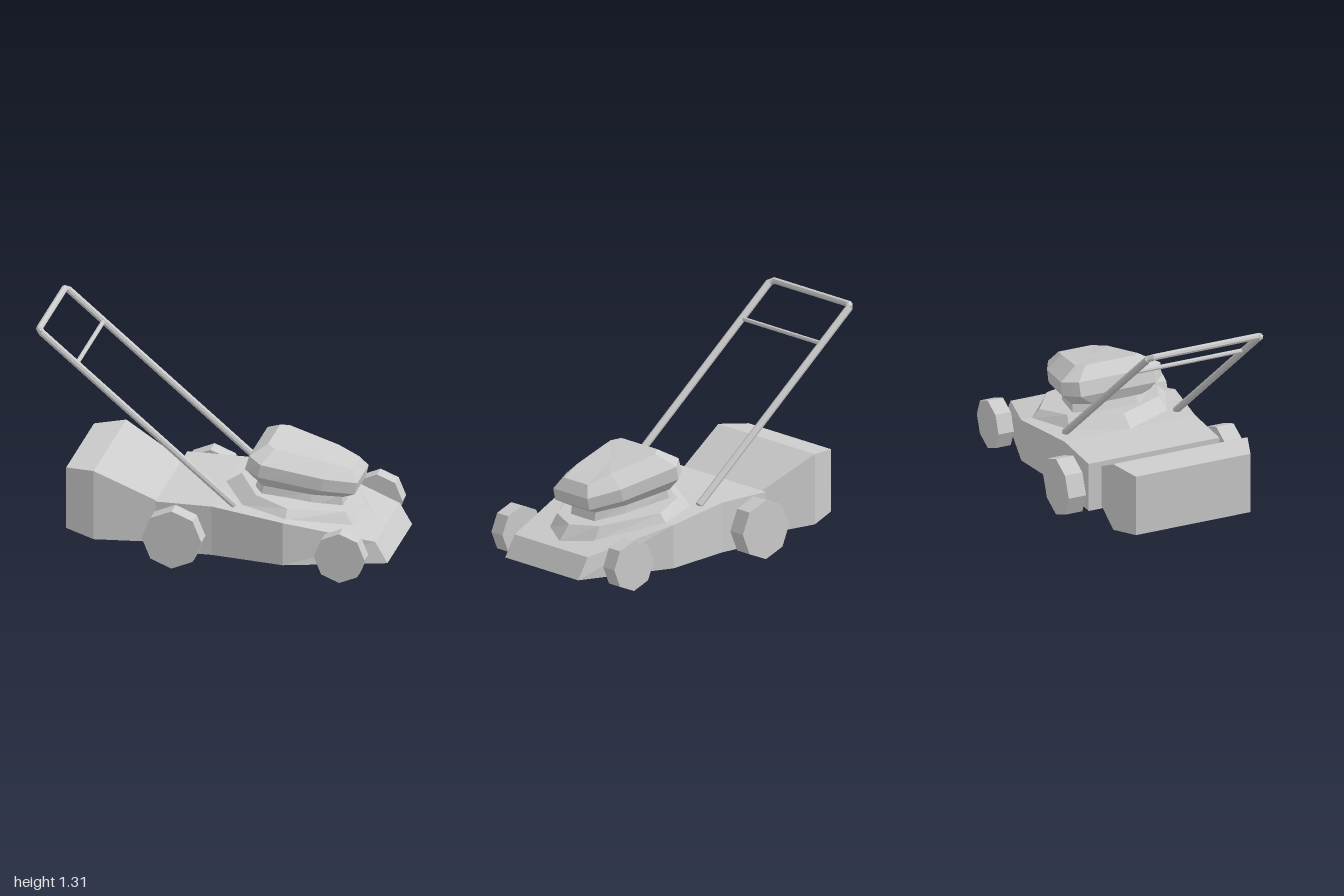
import * as THREE from 'three';

const material = new THREE.MeshStandardMaterial({ color: 0xcccccc, flatShading: true });

// Closed solid through a list of loops with equal point counts, capped at both ends
function loft(loops) {
  const n = loops[0].length;
  const tris = [];
  for (let i = 0; i < loops.length - 1; i++) {
    for (let j = 0; j < n; j++) {
      const k = (j + 1) % n, a = loops[i], b = loops[i + 1];
      tris.push([a[j], a[k], b[k]], [a[j], b[k], b[j]]);
    }
  }
  const centre = (loop) => [0, 1, 2].map((c) => loop.reduce((s, p) => s + p[c], 0) / n);
  const first = loops[0], last = loops[loops.length - 1];
  const c0 = centre(first), c1 = centre(last);
  for (let j = 0; j < n; j++) {
    const k = (j + 1) % n;
    tris.push([c0, first[k], first[j]], [c1, last[j], last[k]]);
  }
  // Turn the faces outward when the enclosed volume comes out negative
  let volume = 0;
  for (const [a, b, c] of tris) {
    volume += new THREE.Vector3(...a).dot(new THREE.Vector3(...b).cross(new THREE.Vector3(...c)));
  }
  if (volume < 0) tris.forEach((t) => t.reverse());
  const geometry = new THREE.BufferGeometry();
  geometry.setAttribute('position', new THREE.Float32BufferAttribute(tris.flat(2), 3));
  geometry.computeVertexNormals();
  return geometry;
}

// Full loop from the points of its left half, listed rear to front
function mirrored(half) {
  const other = half.filter((p) => p[2] > 0).map(([x, y, z]) => [x, y, -z]).reverse();
  return [...half, ...other];
}

// Upright section across the body: top and bottom edges of equal width
const section = ([xTop, yTop, xBottom, yBottom, w]) => [
  [xTop, yTop, w], [xTop, yTop, -w], [xBottom, yBottom, -w], [xBottom, yBottom, w],
];

export function createModel() {
  const model = new THREE.Group();
  model.name = 'lawnMower';

  const add = (name, geometry) => {
    const mesh = new THREE.Mesh(geometry, material);
    mesh.name = name;
    model.add(mesh);
    return mesh;
  };

  const rod = (name, from, to, radius) => {
    const a = new THREE.Vector3(...from), b = new THREE.Vector3(...to);
    const dir = b.clone().sub(a);
    const mesh = add(name, new THREE.CylinderGeometry(radius, radius, dir.length(), 8));
    mesh.position.copy(a).add(b).multiplyScalar(0.5);
    mesh.quaternion.setFromUnitVectors(new THREE.Vector3(0, 1, 0), dir.normalize());
  };

  // Cutting deck with its sloped nose
  add('deck', loft([
    [-0.3, 0.35, -0.3, 0.06, 0.4],
    [0.02, 0.347, 0.02, 0.06, 0.4],
    [0.44, 0.31, 0.44, 0.06, 0.47],
    [0.93, 0.18, 1.0, 0.06, 0.31],
  ].map(section)));

  // Grass catcher behind the deck
  add('grassCatcher', loft([
    [-0.82, 0.49, -0.82, 0.13, 0.35],
    [-0.65, 0.505, -0.65, 0.1, 0.41],
    [-0.29, 0.315, -0.29, 0.08, 0.32],
  ].map(section)));

  // Raised engine mount on the deck
  add('engineMount', loft([
    [[0, 0.34, 0], [0.165, 0.33, 0.3], [0.44, 0.305, 0.41], [0.775, 0.22, 0.19], [0.87, 0.195, 0]],
    [[0.1, 0.405, 0], [0.245, 0.39, 0.28], [0.44, 0.355, 0.36], [0.73, 0.295, 0.18], [0.8, 0.28, 0]],
  ].map(mirrored)));

  // Engine neck, narrowing to a waist
  add('engineNeck', loft([
    [[0.2, 0.37, 0.14], [0.26, 0.355, 0.24], [0.54, 0.31, 0.18], [0.7, 0.29, 0.1]],
    [[0.23, 0.44, 0.13], [0.28, 0.43, 0.23], [0.53, 0.385, 0.17], [0.69, 0.36, 0.1]],
  ].map(mirrored)));

  // Tilted engine cover: underside, rim band, bevelled top
  add('engineCover', loft([
    [[0.19, 0.455, 0.15], [0.27, 0.435, 0.24], [0.54, 0.38, 0.18], [0.7, 0.35, 0.1]],
    [[0.17, 0.52, 0.23], [0.26, 0.505, 0.305], [0.6, 0.425, 0.23], [0.775, 0.388, 0.145]],
    [[0.195, 0.6, 0.23], [0.275, 0.58, 0.305], [0.62, 0.495, 0.23], [0.79, 0.455, 0.145]],
    [[0.285, 0.652, 0.15], [0.33, 0.638, 0.19], [0.62, 0.565, 0.14], [0.75, 0.52, 0.1]],
  ].map(mirrored)));

  // Octagonal wheels on short axles
  for (const side of [1, -1]) {
    const label = side > 0 ? 'Left' : 'Right';
    for (const [end, x, y, r, z0, z1] of [
      ['rear', -0.177, 0.185, 0.17, 0.437, 0.543],
      ['front', 0.773, 0.147, 0.145, 0.428, 0.522],
    ]) {
      const wheel = add(`${end}Wheel${label}`, new THREE.CylinderGeometry(r, r, z1 - z0, 8));
      wheel.rotation.x = Math.PI / 2;
      wheel.position.set(x, y, (side * (z0 + z1)) / 2);
      rod(`${end}Axle${label}`, [x, y, side * 0.34], [x, y, side * 0.45], 0.018);
    }
    // Handle side tube and cut corner
    rod(`handleTube${label}`, [0.14, 0.34, side * 0.34], [-0.965, 1.28, side * 0.34], 0.021);
    rod(`handleCorner${label}`, [-0.96, 1.276, side * 0.342], [-0.982, 1.292, side * 0.315], 0.019);
  }

  // Handle grip and cross bar
  rod('handleGrip', [-0.98, 1.291, -0.322], [-0.98, 1.291, 0.322], 0.019);
  rod('handleCrossBar', [-0.763, 1.107, -0.335], [-0.763, 1.107, 0.335], 0.013);

  return model;
}
